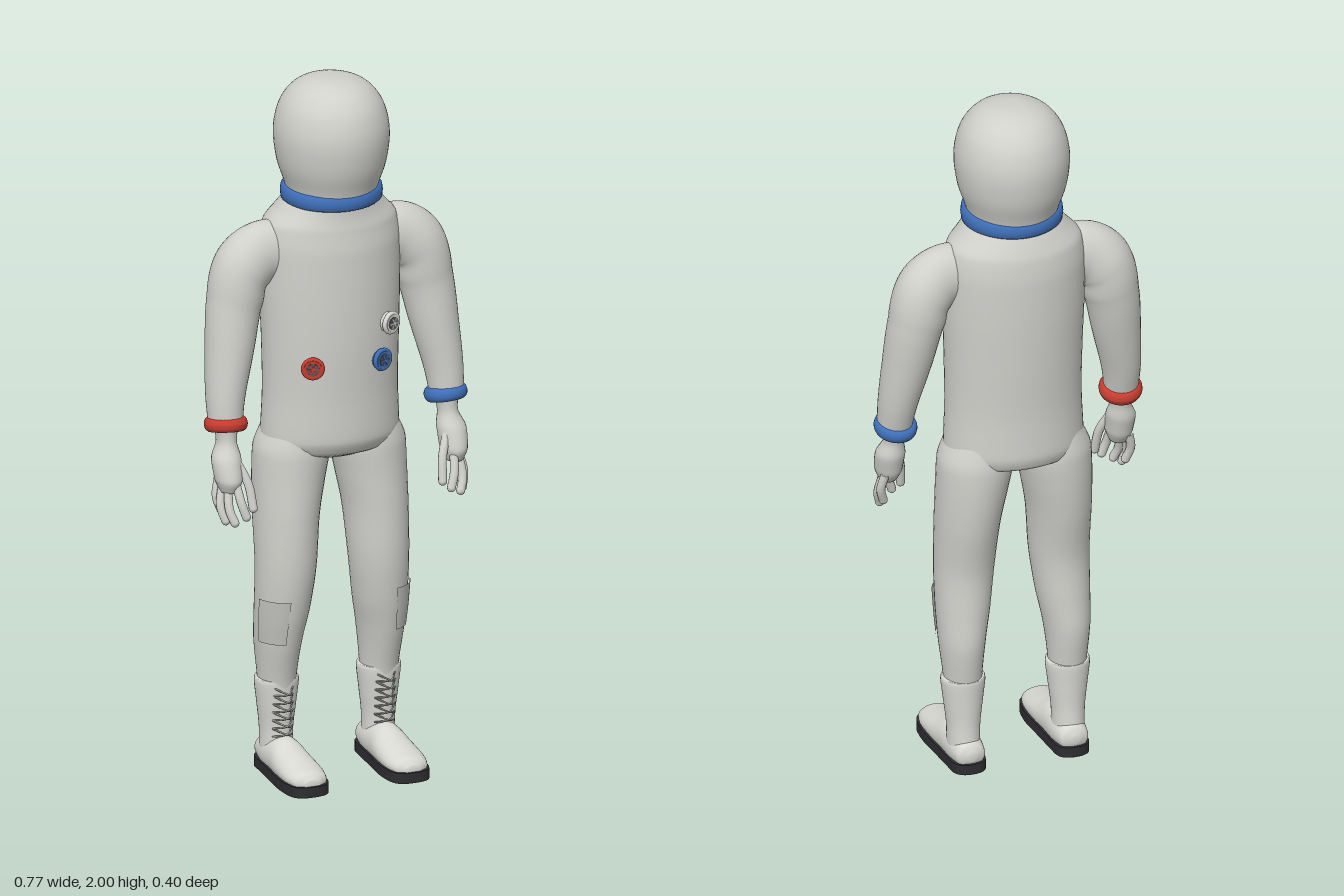
import * as THREE from 'three';
import { mergeGeometries } from 'three/addons/utils/BufferGeometryUtils.js';

const material = (name, color, side = THREE.FrontSide) => {
  const m = new THREE.MeshStandardMaterial({ color, side });
  m.name = name;
  return m;
};
const V = (p) => new THREE.Vector3(...p);

// Smooth skin over rows [x, y, z, radiusA, radiusB, tilt], listed bottom to top.
// An arc [from, to] leaves an open sheet instead of a capped tube.
function loft(rows, { steps = 40, sides = 36, arc } = {}) {
  const centres = new THREE.CatmullRomCurve3(rows.map((r) => V(r.slice(0, 3))));
  const sizes = new THREE.CatmullRomCurve3(rows.map((r) => V([r[3], r[4], r[5] || 0])));
  const [a0, a1] = arc || [0, Math.PI * 2];
  const ring = arc ? sides + 1 : sides;
  const pos = [], index = [];
  for (let i = 0; i <= steps; i++) {
    const c = centres.getPoint(i / steps), s = sizes.getPoint(i / steps);
    for (let j = 0; j < ring; j++) {
      const a = a0 + (a1 - a0) * j / sides, u = s.x * Math.cos(a);
      pos.push(c.x + u * Math.cos(s.z), c.y + u * Math.sin(s.z), c.z + s.y * Math.sin(a));
    }
  }
  for (let i = 0; i < steps; i++) for (let j = 0; j < sides; j++) {
    const k = (j + 1) % ring, p = i * ring, q = p + ring;
    index.push(p + j, q + j, p + k, p + k, q + j, q + k);
  }
  if (!arc) {
    const low = pos.length / 3, high = low + 1, top = steps * ring;
    pos.push(...rows[0].slice(0, 3), ...rows[rows.length - 1].slice(0, 3));
    for (let j = 0; j < sides; j++) {
      const k = (j + 1) % sides;
      index.push(low, j, k, high, top + k, top + j);
    }
  }
  const g = new THREE.BufferGeometry();
  g.setAttribute('position', new THREE.Float32BufferAttribute(pos, 3));
  g.setIndex(index);
  g.computeVertexNormals();
  return g;
}

// Mirrors a geometry across x = 0 and keeps its faces turned outwards.
function mirror(g) {
  g.scale(-1, 1, 1);
  const ids = g.index ? Array.from(g.index.array) : Array.from({ length: g.attributes.position.count }, (_, i) => i);
  for (let i = 0; i < ids.length; i += 3) [ids[i + 1], ids[i + 2]] = [ids[i + 2], ids[i + 1]];
  g.setIndex(ids);
  g.computeVertexNormals();
  return g;
}

// Bent rod with a round tip
function finger(points, r) {
  const tube = new THREE.TubeGeometry(new THREE.CatmullRomCurve3(points.map(V)), 10, r, 10);
  const tip = new THREE.SphereGeometry(r, 10, 8).translate(...points[points.length - 1]);
  return mergeGeometries([tube, tip]);
}

export function createModel() {
  const suit = material('suitGrey', 0xd0d0cb);
  const patchGrey = material('patchGrey', 0xc6c6c1, THREE.DoubleSide);
  const boot = material('bootGrey', 0xd8d8d3);
  const lace = material('laceGrey', 0xa2a29e);
  const blue = material('blue', 0x3f70ba);
  const red = material('red', 0xc83c30);
  const dark = material('soleBlack', 0x2e2e32);
  const metal = material('metalGrey', 0x55555a);

  const model = new THREE.Group();
  model.name = 'astronaut';
  const add = (name, geometry, mat, parent = model) => {
    const mesh = new THREE.Mesh(geometry, mat);
    mesh.name = name;
    parent.add(mesh);
    return mesh;
  };

  // Torso
  add('torso', loft([
    [0, 0.915, -0.045, 0.12, 0.08], [0, 0.94, -0.045, 0.187, 0.13],
    [0, 0.98, -0.042, 0.198, 0.144], [0, 1.1, -0.04, 0.193, 0.144],
    [0, 1.25, -0.04, 0.195, 0.15], [0, 1.4, -0.043, 0.2, 0.152],
    [0, 1.52, -0.045, 0.201, 0.15], [0, 1.59, -0.045, 0.19, 0.141],
    [0, 1.63, -0.04, 0.155, 0.13], [0, 1.67, -0.03, 0.12, 0.12],
  ], { steps: 60, sides: 56 }), suit);

  // Helmet and neck ring
  const dome = new THREE.SplineCurve([
    [0.12, 1.66], [0.13, 1.7], [0.149, 1.76], [0.158, 1.83], [0.153, 1.885],
    [0.135, 1.935], [0.1, 1.975], [0.05, 1.996], [0, 2],
  ].map((p) => new THREE.Vector2(...p))).getPoints(40);
  dome.forEach((p) => { p.x = Math.max(p.x, 0); });
  add('helmet', new THREE.LatheGeometry(dome, 56).scale(1, 1, 1.076).translate(0, 0, -0.03), suit);
  const band = [[0.11, 1.648], [0.132, 1.648], [0.139, 1.654], [0.141, 1.67], [0.139, 1.686], [0.132, 1.692], [0.11, 1.692]]
    .map((p) => new THREE.Vector2(...p));
  add('neckRing', new THREE.LatheGeometry(band, 56).translate(0, 0, -0.03), blue);

  // Hose connectors on the chest
  for (const [name, x, y, z, mat] of [
    ['redConnector', -0.106, 1.205, 0.088, red],
    ['blueConnector', 0.092, 1.205, 0.091, blue],
    ['greyConnector', 0.12, 1.305, 0.084, boot],
  ]) {
    const g = new THREE.Group();
    g.name = name;
    g.position.set(x, y, z);
    g.rotation.y = x * 3.6;
    model.add(g);
    add('connectorBody', new THREE.CylinderGeometry(0.025, 0.03, 0.04, 24).rotateX(Math.PI / 2), mat, g);
    add('connectorLip', new THREE.TorusGeometry(0.026, 0.007, 10, 28).translate(0, 0, 0.012), mat, g);
    add('connectorSocket', new THREE.CylinderGeometry(0.018, 0.018, 0.004, 24).rotateX(Math.PI / 2).translate(0, 0, 0.02), metal, g);
    for (let i = 0; i < 3; i++) {
      add('connectorSpoke', new THREE.BoxGeometry(0.032, 0.004, 0.004).rotateZ(i * Math.PI / 3).translate(0, 0, 0.022), mat, g);
    }
  }

  // Limbs, shaped for the left side and mirrored for the right
  for (const [side, s] of [['left', 1], ['right', -1]]) {
    const put = (name, g, mat) => add(side + name, s < 0 ? mirror(g) : g, mat);

    // Arm, wrist ring and hand
    put('Arm', loft([
      [0.33, 1.04, 0.003, 0.047, 0.05, 0.1], [0.325, 1.12, -0.01, 0.054, 0.06, 0.13],
      [0.305, 1.25, -0.028, 0.067, 0.072, 0.17], [0.284, 1.38, -0.043, 0.077, 0.079, 0.25],
      [0.257, 1.475, -0.045, 0.085, 0.08, 0.75], [0.2, 1.513, -0.042, 0.088, 0.067, 1.4],
      [0.12, 1.515, -0.04, 0.08, 0.06, 1.57],
    ], { steps: 50 }), suit);
    put('WristRing', new THREE.TorusGeometry(0.046, 0.014, 14, 40).rotateX(Math.PI / 2).scale(1, 1.45, 1.04)
      .rotateX(-0.22).rotateZ(0.06).translate(0.327, 1.045, 0), s > 0 ? blue : red);
    put('Palm', loft([
      [0.335, 0.865, 0.042, 0.025, 0.03], [0.335, 0.9, 0.037, 0.038, 0.047],
      [0.335, 0.95, 0.022, 0.041, 0.046], [0.329, 1, 0.008, 0.028, 0.034],
      [0.328, 1.055, 0, 0.036, 0.04],
    ], { steps: 24, sides: 24 }), suit);
    const digits = [
      ['LittleFinger', [0.353, 0.895, 0.008], [0.363, 0.845, 0.018], [0.352, 0.805, 0.03]],
      ['RingFinger', [0.35, 0.885, 0.03], [0.362, 0.825, 0.045], [0.352, 0.785, 0.058]],
      ['MiddleFinger', [0.342, 0.885, 0.05], [0.347, 0.82, 0.072], [0.336, 0.785, 0.084]],
      ['IndexFinger', [0.325, 0.9, 0.06], [0.317, 0.84, 0.084], [0.305, 0.8, 0.092]],
      ['Thumb', [0.315, 0.95, 0.04], [0.289, 0.885, 0.068], [0.282, 0.82, 0.085]],
    ];
    for (const [name, ...points] of digits) put(name, finger(points, 0.0125), suit);

    // Leg with a patch on the outer front of the knee
    put('Leg', loft([
      [0.15, 0.2, -0.055, 0.05, 0.052], [0.152, 0.27, -0.055, 0.053, 0.06],
      [0.152, 0.38, -0.048, 0.064, 0.08], [0.145, 0.48, -0.035, 0.075, 0.088],
      [0.138, 0.6, -0.026, 0.083, 0.094], [0.132, 0.75, -0.038, 0.09, 0.108],
      [0.122, 0.85, -0.045, 0.099, 0.113], [0.113, 0.93, -0.047, 0.105, 0.115],
      [0.11, 1.02, -0.045, 0.07, 0.1],
    ], { steps: 60 }), suit);
    put('KneePatch', loft([
      [0.151, 0.39, -0.0475, 0.07, 0.086], [0.148, 0.45, -0.04, 0.077, 0.0905], [0.144, 0.52, -0.032, 0.083, 0.095],
    ], { steps: 12, sides: 16, arc: [0.25, 1.4] }), patchGrey);

    // Boot shaft and foot
    put('BootShaft', loft([
      [0.152, 0.04, -0.06, 0.045, 0.058], [0.152, 0.12, -0.06, 0.046, 0.052],
      [0.152, 0.2, -0.058, 0.055, 0.056], [0.152, 0.262, -0.057, 0.062, 0.06],
      [0.152, 0.272, -0.057, 0.06, 0.059], [0.152, 0.275, -0.057, 0.045, 0.045],
    ]), boot);
    const foot = loft([
      [0.15, -0.132, -0.05, 0.012, 0.012], [0.15, -0.12, -0.05, 0.04, 0.036],
      [0.15, -0.06, -0.05, 0.05, 0.055], [0.15, 0, -0.05, 0.052, 0.06],
      [0.15, 0.06, -0.045, 0.058, 0.046], [0.15, 0.13, -0.04, 0.059, 0.034],
      [0.15, 0.175, -0.037, 0.048, 0.028], [0.15, 0.193, -0.034, 0.02, 0.012],
    ]).rotateX(Math.PI / 2);
    const p = foot.attributes.position;
    for (let i = 0; i < p.count; i++) p.setY(i, Math.max(p.getY(i), 0.02));
    foot.computeVertexNormals();
    put('BootFoot', foot, boot);

    // Sole
    const half = [[0.03, 0.196], [0.052, 0.178], [0.063, 0.11], [0.057, 0.02], [0.051, -0.06], [0.044, -0.115], [0.022, -0.133]];
    const outline = [...half, ...half.map(([x, z]) => [-x, z]).reverse()].map(([x, z]) => new THREE.Vector3(x, -z, 0));
    const rim = new THREE.CatmullRomCurve3(outline, true).getPoints(56).slice(0, -1);
    const shape = new THREE.Shape(rim.map((v) => new THREE.Vector2(v.x, v.y)));
    put('Sole', new THREE.ExtrudeGeometry(shape, { depth: 0.03, bevelEnabled: false })
      .rotateX(-Math.PI / 2).translate(0.15, 0, 0), dark);

    // Crossed laces up the front of the shaft
    for (let i = 0; i < 6; i++) for (const d of [1, -1]) {
      const y = 0.11 + i * 0.024, z = -0.012 + i * 0.001, out = 0.014 + i * 0.003;
      const path = new THREE.CatmullRomCurve3([[0.152 - d * 0.03, y, z - 0.004], [0.152, y + 0.012, out], [0.152 + d * 0.03, y + 0.024, z - 0.004]].map(V));
      put('Lace', new THREE.TubeGeometry(path, 10, 0.0025, 6), lace);
    }
  }
  return model;
}
